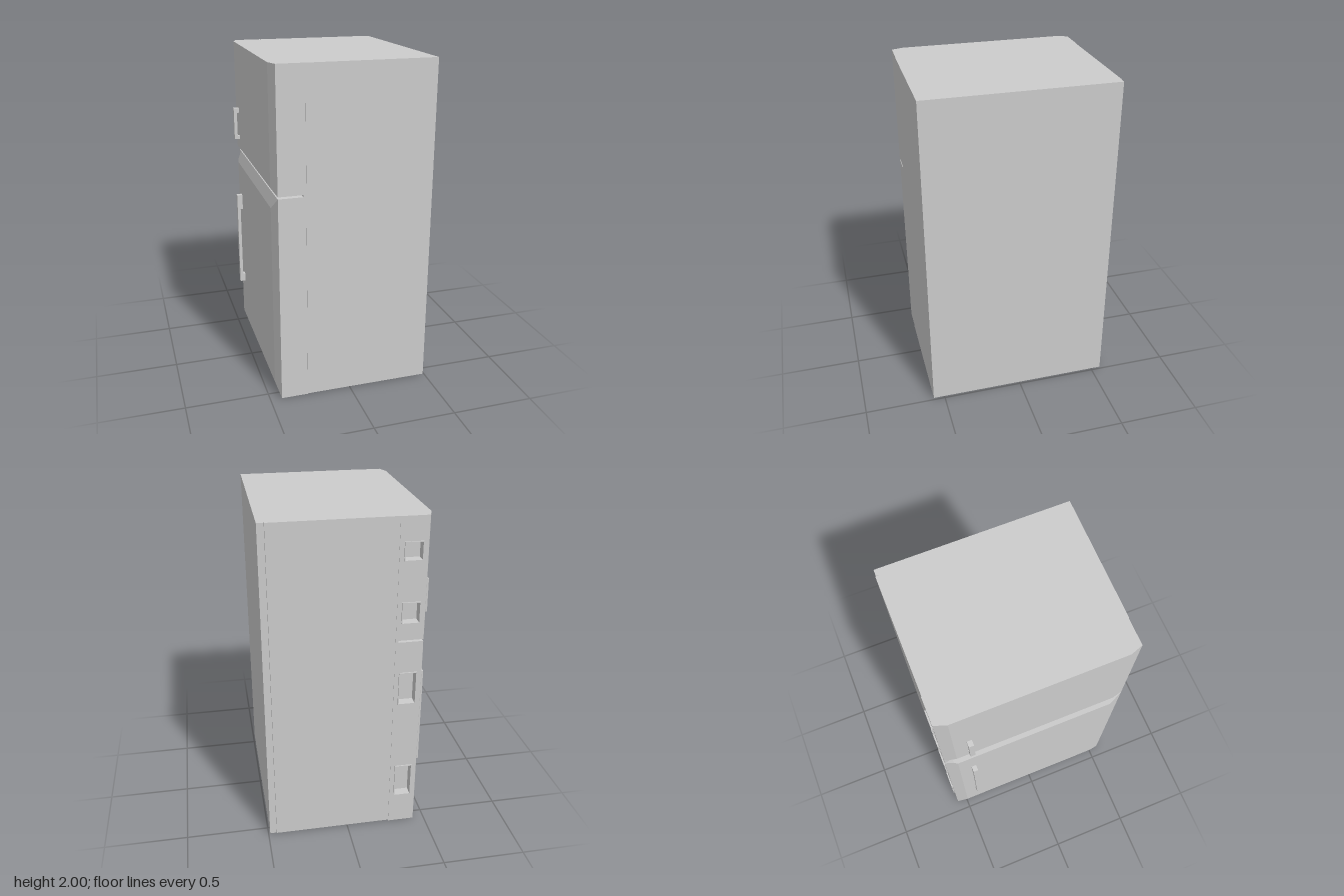
import * as THREE from 'three';
import { ConvexGeometry } from 'three/addons/geometries/ConvexGeometry.js';

const mat = new THREE.MeshStandardMaterial({ color: 0xcccccc, flatShading: true });
const group = new THREE.Group();

function add(name, geometry) {
  const mesh = new THREE.Mesh(geometry, mat);
  mesh.name = name;
  group.add(mesh);
  return mesh;
}

// Box given by its limits on each axis
function box(name, x0, x1, y0, y1, z0, z1) {
  const g = new THREE.BoxGeometry(x1 - x0, y1 - y0, z1 - z0);
  g.translate((x0 + x1) / 2, (y0 + y1) / 2, (z0 + z1) / 2);
  return add(name, g);
}

const polygon = (pts) => new THREE.Shape(pts.map(([x, y]) => new THREE.Vector2(x, y)));
const rect = (x0, x1, y0, y1) => [[x0, y0], [x1, y0], [x1, y1], [x0, y1]];

function extrude(shape, z0, z1) {
  const g = new THREE.ExtrudeGeometry(shape, { depth: z1 - z0, bevelEnabled: false });
  return g.translate(0, 0, z0);
}

// Door dimensions: the face is at X_FACE, its chamfers fall back to X_EDGE
const X_FACE = -0.455, X_EDGE = -0.43, X_BACK = -0.285;
const Z_SIDE = 0.567, Z_FLAT = 0.495, Z_POCKET = -0.517;
const POCKET_X = [-0.402, -0.295];

function door(name, y0, y1, lowChamfer, highChamfer, pockets) {
  // Solid part of the door, up to the depth of the pockets
  const t = (Z_SIDE + Z_POCKET) / (Z_SIDE - Z_FLAT);
  const xMid = X_EDGE + (X_FACE - X_EDGE) * t;
  const yLow = y0 + lowChamfer * t, yHigh = y1 - highChamfer * t;
  const pts = [];
  const put = (x, z, ...ys) => ys.forEach((y) => pts.push(new THREE.Vector3(x, y, z)));
  for (const z of [Z_POCKET, Z_SIDE]) {
    put(X_BACK, z, y0, y1);
    put(X_EDGE, z, y0, y1);
  }
  put(xMid, Z_POCKET, yLow, yHigh);
  for (const z of [-Z_FLAT, Z_FLAT]) put(X_FACE, z, y0 + lowChamfer, y1 - highChamfer);
  add(name, new ConvexGeometry(pts));

  // Side panel with pocket openings; its inner edge follows the chamfer
  const outline = polygon([[X_BACK, y0], [X_BACK, y1], [X_EDGE, y1],
    [X_EDGE, yHigh], [X_EDGE, yLow], [X_EDGE, y0]]);
  for (const [a, b] of pockets) outline.holes.push(polygon(rect(...POCKET_X, a, b)));
  const panel = extrude(outline, -Z_SIDE, Z_POCKET);
  const p = panel.attributes.position;
  for (let i = 0; i < p.count; i++) {
    const onEdge = Math.abs(p.getX(i) - X_EDGE) < 1e-4;
    const inner = Math.abs(p.getZ(i) - Z_POCKET) < 1e-4;
    const y = p.getY(i);
    if (onEdge && inner && (!lowChamfer || y > y0 + 1e-4) && (!highChamfer || y < y1 - 1e-4)) {
      p.setX(i, xMid);
    }
  }
  add(name + 'SidePanel', panel);

  // Thin sleeve lining each pocket and standing slightly proud
  const w = 0.005;
  for (const [a, b] of pockets) {
    const ring = polygon(rect(...POCKET_X, a, b));
    ring.holes.push(polygon(rect(POCKET_X[0] + w, POCKET_X[1] - w, a + w, b - w)));
    add('pocketRim', extrude(ring, -0.575, Z_POCKET));
  }
}

// C-shaped pull handle with its grip opening between a and b
function handle(name, y0, y1, a, b) {
  const xo = -0.49, xi = -0.47, xd = -0.45;
  add(name, extrude(polygon([[xd, y0], [xd, a], [xi, a], [xi, b],
    [xd, b], [xd, y1], [xo, y1], [xo, y0]]), -0.42, -0.39));
}

export function createModel() {
  group.clear();
  group.name = 'refrigerator';

  // Cabinet, grooved rear cover and inset base
  box('cabinet', -0.268, 0.449, 0.005, 2, -0.564, 0.57);
  box('rearGroove', 0.449, 0.452, 0.005, 2, -0.545, 0.57);
  box('rearCover', 0.452, 0.49, 0.005, 2, -0.56, 0.57);
  box('base', -0.26, 0.46, 0, 0.005, -0.535, 0.54);
  box('doorSeal', X_BACK, -0.268, 0, 2, -Z_SIDE, Z_SIDE);

  // Doors with their side pockets
  door('lowerDoor', 0, 1.265, 0.075, 0.07, [[0.2, 0.42], [0.86, 1.07]]);
  door('upperDoor', 1.277, 2, 0.035, 0, [[1.38, 1.51], [1.75, 1.86]]);

  handle('lowerHandle', 0.355, 0.99, 0.41, 0.89);
  handle('upperHandle', 1.38, 1.585, 1.4, 1.555);
  return group;
}
